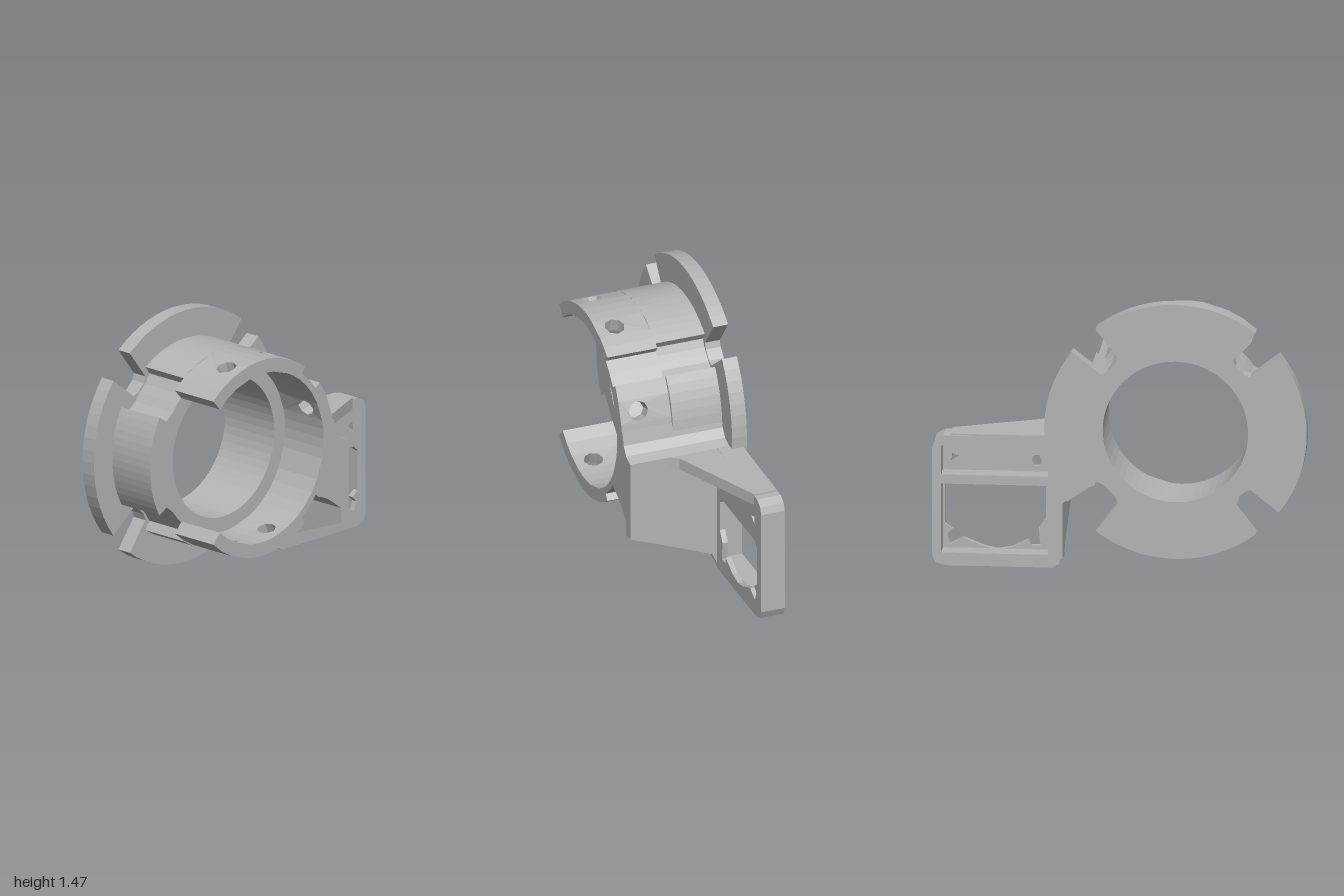
import * as THREE from 'three';

const CX = -0.3, CY = 0.77, RAD = Math.PI / 180;

export function createModel() {
  const model = new THREE.Group();
  const grey = new THREE.MeshStandardMaterial({ color: 0xb4b4b4 });
  grey.name = 'grey';

  const add = (name, geometry) => {
    const mesh = new THREE.Mesh(geometry, grey);
    mesh.name = name;
    model.add(mesh);
    return mesh;
  };
  const polygon = (pts) => new THREE.Shape(pts.map(([x, y]) => new THREE.Vector2(x, y)));
  const polar = (r, deg) => [CX + r * Math.cos(deg * RAD), CY + r * Math.sin(deg * RAD)];
  const circle = (x, y, rx, ry = rx, n = 8) => Array.from({ length: n }, (_, i) =>
    [x + rx * Math.cos((i / n) * 2 * Math.PI), y + ry * Math.sin((i / n) * 2 * Math.PI)]);
  // Plate in the xy plane between two z levels
  const plate = (outline, holes, z0, z1) => {
    const shape = polygon(outline);
    shape.holes = holes.map(polygon);
    return new THREE.ExtrudeGeometry(shape, { depth: z1 - z0, bevelEnabled: false }).translate(0, 0, z0);
  };

  // Ring whose outline reaches each sector's radius and drops to slotR between sectors
  const slottedRing = (sectors, slotR, z0, z1) => {
    const outline = [];
    sectors.forEach(([a0, a1, r], i) => {
      const n = 14;
      for (let k = 0; k <= n; k++) outline.push(polar(r, a0 + ((a1 - a0) * k) / n));
      const next = i + 1 < sectors.length ? sectors[i + 1][0] : sectors[0][0] + 360;
      const gap = next - a1;
      outline.push(polar(slotR + 0.02, a1));
      for (const t of [0.25, 0.5, 0.75]) outline.push(polar(slotR, a1 + gap * t));
      outline.push(polar(slotR + 0.02, next));
    });
    return plate(outline, [circle(CX, CY, 0.3875, 0.3875, 56)], z0, z1);
  };

  // Rear flange and the thick sleeve in front of it
  add('flange', slottedRing([
    [-34.5, 37.7, 0.7], [52.5, 127.5, 0.7], [142, 218, 0.7], [232.5, 307.5, 0.7],
  ], 0.485, -0.325, -0.24));
  add('sleeve', slottedRing([
    [-34.5, 36, 0.56], [56, 124, 0.545], [151, 209, 0.56], [236, 304, 0.55],
  ], 0.475, -0.24, 0.04));

  // Thin front collar, open on one side, made of curved panels, some with a round hole
  const collarPanel = (d0, d1, rIn, rOut, hole) => {
    const a = d0 * RAD, b = d1 * RAD;
    const shape = polygon([[a, 0.04], [b, 0.04], [b, 0.325], [a, 0.325]]);
    if (hole) shape.holes.push(polygon(circle((a + b) / 2, 0.22, 0.1, 0.055)));
    const g = new THREE.ExtrudeGeometry(shape, { depth: rOut - rIn, bevelEnabled: false });
    const p = g.attributes.position;
    for (let i = 0; i < p.count; i++) {
      const t = p.getX(i), z = p.getY(i), r = rIn + p.getZ(i);
      p.setXYZ(i, CX + r * Math.cos(t), CY + r * Math.sin(t), z);
    }
    g.computeVertexNormals();
    return g;
  };
  const breaks = [0, 6.5, 13, 27, 36, 44.5, 53, 59.5, 65.5, 79.5, 86.5, 93.5, 100.5, 114.5, 124, 133];
  for (const side of [1, -1]) {
    for (let i = 0; i + 1 < breaks.length; i++) {
      const lo = breaks[i], hi = breaks[i + 1];
      const hole = lo === 65.5 || lo === 100.5 || (lo === 13 && side > 0);
      const outer = lo >= 36 && hi <= 53 ? 0.505 : 0.545;
      const [d0, d1] = side > 0 ? [lo, hi] : [-hi, -lo];
      add('collarPanel', collarPanel(d0, d1, 0.47, outer, hole));
    }
  }

  // Solid arm root joining the ring to the side bracket
  add('armRoot', plate([
    [0.19, 0.86], [0.19, 0.74], [0.165, 0.6], [0.13, 0.46], [0.2, 0.43], [0.31, 0.35],
    [0.36, 0.32], [0.36, 0.725], [0.3, 0.745], [0.265, 0.79], [0.248, 0.86],
  ], [], -0.3, 0.325));

  // Upright gusset tapering down to the bracket foot; profile is (z, y)
  const gusset = new THREE.ExtrudeGeometry(
    polygon([[-0.3, 0.05], [-0.17, 0.03], [-0.14, 0.09], [0.2, 0.225], [0.325, 0.27], [0.325, 0.5], [-0.3, 0.5]]),
    { depth: 0.055, bevelEnabled: false });
  gusset.rotateY(-Math.PI / 2).translate(0.36, 0, 0);
  // The rotation maps profile x to +z
  add('uprightGusset', gusset);

  // Top rib tapering out along the bracket; profile is (x, z)
  const rib = new THREE.ExtrudeGeometry(
    polygon([[0.34, 0.12], [0.36, 0.1], [0.39, 0.055], [0.9, -0.17], [0.9, -0.3], [0.34, -0.3]]),
    { depth: 0.065, bevelEnabled: false });
  rib.rotateX(Math.PI / 2).translate(0, 0.725, 0);
  add('topRib', rib);

  // Bracket: rear frame with two openings, and a front skin with a window and two small holes
  const bracket = [
    [0.36, 0], [0.93, 0], [0.98, 0.015], [1, 0.06], [1, 0.65], [0.985, 0.69], [0.94, 0.715],
    [0.36, 0.728], [0.31, 0.7], [0.31, 0.06], [0.325, 0.02],
  ];
  add('bracketFrame', plate(bracket, [
    [[0.38, 0.07], [0.95, 0.07], [0.95, 0.45], [0.38, 0.45]],
    [[0.38, 0.5], [0.95, 0.5], [0.95, 0.66], [0.38, 0.66]],
  ], -0.305, -0.2));
  add('bracketFace', plate(bracket, [
    [[0.4, 0.42], [0.42, 0.45], [0.91, 0.45], [0.94, 0.42], [0.94, 0.2], [0.9, 0.17], [0.93, 0.14],
      [0.91, 0.09], [0.84, 0.125], [0.73, 0.08], [0.66, 0.065], [0.58, 0.08], [0.49, 0.125],
      [0.48, 0.09], [0.43, 0.09], [0.44, 0.19], [0.4, 0.25]],
    circle(0.45, 0.56, 0.028, 0.035, 6),
    [[0.855, 0.575], [0.905, 0.545], [0.9, 0.59]],
  ], -0.2, -0.17));

  return model;
}
